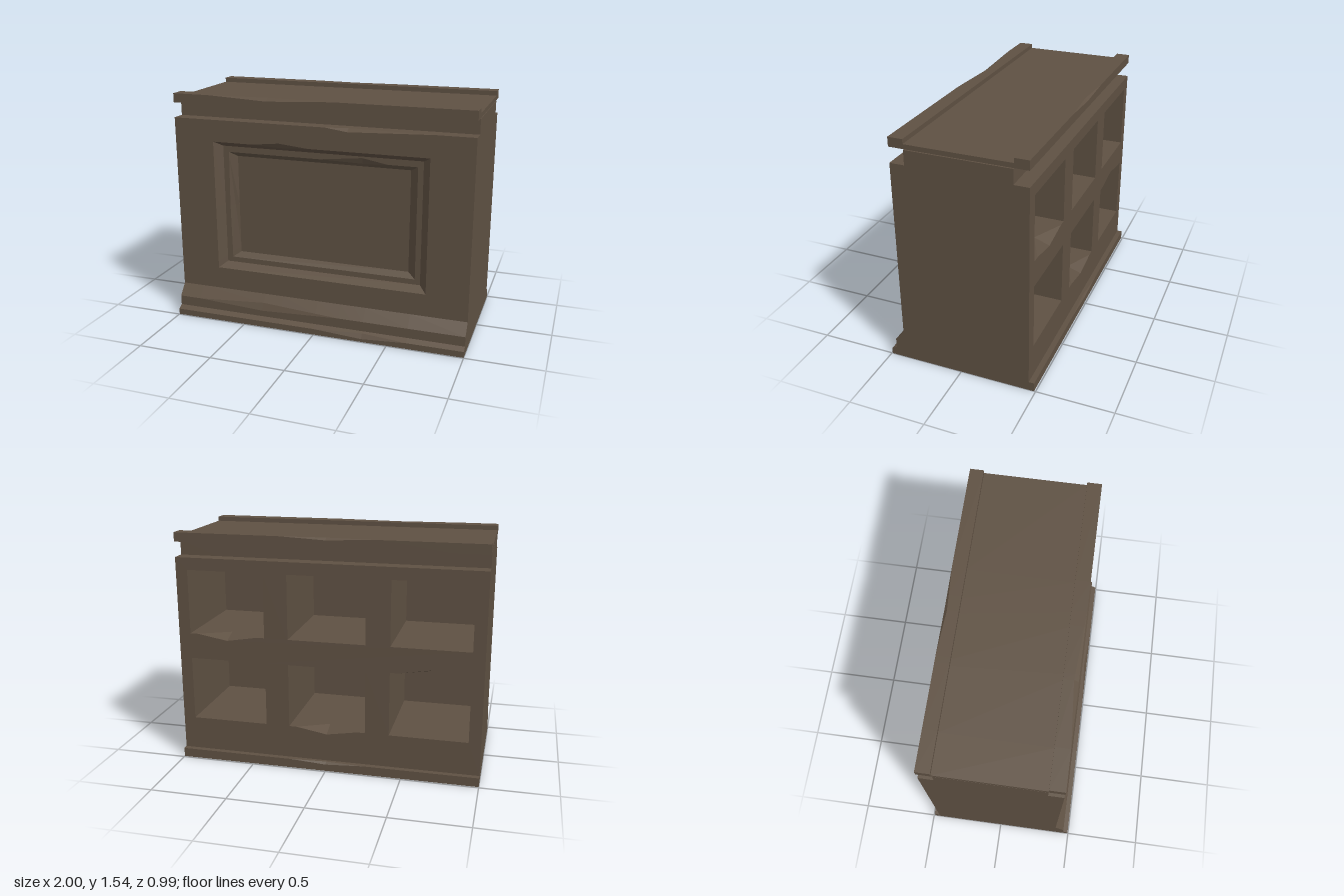
import * as THREE from 'three';

const wood = new THREE.MeshStandardMaterial({ color: 0x5f5143 });
wood.name = 'darkWood';

function mesh(name, geometry) {
  const m = new THREE.Mesh(geometry, wood);
  m.name = name;
  return m;
}

// Skin a series of equal-length rings with flat faces
function loft(rings, closed = true) {
  const pos = [];
  const tri = (a, b, c) => {
    const area = b.clone().sub(a).cross(c.clone().sub(a)).length();
    if (area > 1e-8) for (const p of [a, b, c]) pos.push(p.x, p.y, p.z);
  };
  for (let k = 0; k + 1 < rings.length; k++) {
    const a = rings[k], b = rings[k + 1], n = a.length;
    for (let i = 0; i < (closed ? n : n - 1); i++) {
      const j = (i + 1) % n;
      tri(a[i], a[j], b[j]);
      tri(a[i], b[j], b[i]);
    }
  }
  const g = new THREE.BufferGeometry();
  g.setAttribute('position', new THREE.Float32BufferAttribute(pos, 3));
  g.computeVertexNormals();
  return g;
}

// Run a [z, y] profile along x; each chip splits one profile corner in two
function moulding(profile, chips, closed) {
  const xs = [...new Set([-1, 1, ...chips.flatMap(c => c.x)])].sort((a, b) => a - b);
  const rings = xs.map(x => profile.flatMap((p, i) => {
    const c = chips.find(q => q.i === i);
    let t = 0;
    if (c) {
      const [x0, xm, x1] = c.x;
      t = Math.max(0, x < xm ? (x - x0) / (xm - x0) : (x1 - x) / (x1 - xm));
    }
    return ['a', 'b'].map(s => {
      const q = c ? c[s] : p;
      return new THREE.Vector3(x, p[1] + (q[1] - p[1]) * t, p[0] + (q[0] - p[0]) * t);
    });
  }));
  return loft(rings, closed);
}

// Flat end face of a [z, y] profile
function endCap(profile, side) {
  const shape = new THREE.Shape(profile.map(([z, y]) => new THREE.Vector2(-side * z, y)));
  return new THREE.ShapeGeometry(shape).rotateY(side * Math.PI / 2).translate(side, 0, 0);
}

// Counter-clockwise rectangle ring; chips add three points on an edge,
// and moves give the middle point's [outward, inward depth] shift
function ring([l, b, r, t], z, chips = [], moves = []) {
  const c = [[l, b], [r, b], [r, t], [l, t]];
  const out = [[0, -1], [1, 0], [0, 1], [-1, 0]];
  const pts = [];
  for (let e = 0; e < 4; e++) {
    const p = c[e], q = c[(e + 1) % 4];
    pts.push(new THREE.Vector3(p[0], p[1], z));
    chips.forEach((chip, k) => {
      if (chip.e !== e) return;
      chip.f.forEach((f, m) => {
        const [o, d] = m === 1 && moves[k] ? moves[k] : [0, 0];
        pts.push(new THREE.Vector3(
          p[0] + (q[0] - p[0]) * f + out[e][0] * o,
          p[1] + (q[1] - p[1]) * f + out[e][1] * o, z - d));
      });
    });
  }
  return pts;
}

const flat = pts => pts.map(p => new THREE.Vector2(p.x, p.y));
const panel = (pts, z) => new THREE.ShapeGeometry(new THREE.Shape(flat(pts))).translate(0, 0, z);

function plate(outline, holes) {
  const s = new THREE.Shape(outline.map(p => new THREE.Vector2(...p)));
  for (const h of holes) s.holes.push(new THREE.Path(flat(h)));
  return new THREE.ShapeGeometry(s);
}

export function createModel() {
  const root = new THREE.Group();
  root.name = 'counter';

  // Stepped plinth and shouldered upper body
  const base = [[0.4, 0.2], [0.46, 0.125], [0.46, 0.06], [0.495, 0.04], [0.495, 0],
    [-0.49, 0], [-0.49, 0.06], [-0.455, 0.06]];
  const neck = [[-0.455, 1.38], [-0.36, 1.38], [-0.36, 1.475], [0.305, 1.475], [0.305, 1.38], [0.4, 1.38]];
  root.add(mesh('plinth', moulding(base, [
    { i: 1, x: [-0.85, -0.38, 0.16], a: [0.44, 0.15], b: [0.46, 0.1] },
    { i: 3, x: [0, 0.33, 0.63], a: [0.475, 0.052], b: [0.495, 0.02] },
    { i: 6, x: [-0.25, 0, 0.25], a: [-0.49, 0.045], b: [-0.475, 0.06] },
  ], false)));
  root.add(mesh('shoulder', moulding(neck, [
    { i: 5, x: [0.05, 0.2, 0.75], a: [0.37, 1.38], b: [0.4, 1.36] },
  ], false)));

  // Counter top with a raised rail along front and back
  const top = [[-0.455, 1.48], [-0.455, 1.54], [-0.365, 1.54], [-0.365, 1.51],
    [0.305, 1.51], [0.305, 1.54], [0.4, 1.54], [0.4, 1.48]];
  root.add(mesh('counterTop', moulding(top, [
    { i: 1, x: [-0.3, 0, 0.3], a: [-0.455, 1.525], b: [-0.437, 1.54] },
    { i: 6, x: [-0.75, -0.34, 0.1], a: [0.37, 1.54], b: [0.4, 1.52] },
  ], true)));

  // Side faces
  for (const side of [1, -1]) {
    const word = side > 0 ? 'left' : 'right';
    root.add(mesh(word + 'Side', endCap([...base, ...neck], side)));
    root.add(mesh(word + 'TopEnd', endCap(top, side)));
  }

  // Front face with a double-bevelled recessed panel
  const front = new THREE.Group();
  front.name = 'front';
  front.position.z = 0.4;
  const chips = [{ e: 2, f: [0.15, 0.28, 0.5] }, { e: 2, f: [0.54, 0.68, 0.81] }, { e: 3, f: [0.03, 0.5, 0.95] }];
  const r0 = [-0.725, 0.35, 0.725, 1.235], r1 = [-0.68, 0.385, 0.675, 1.2];
  const r2 = [-0.64, 0.42, 0.64, 1.16], r3 = [-0.59, 0.455, 0.59, 1.13];
  const rim = ring(r0, 0, chips, [0, [0.02, 0]]);
  front.add(mesh('frontFace', plate([[-1, 0.2], [1, 0.2], [1, 1.38], [0.75, 1.38],
    [0.2, 1.36], [0.05, 1.38], [-1, 1.38]], [rim])));
  front.add(mesh('panelFrame', loft([
    rim,
    ring(r0, 0, chips, [0, [-0.015, 0.025]]),
    ring(r1, -0.055, chips),
    ring(r2, -0.055, chips, [[0.03, 0], 0, [0.005, 0]]),
    ring(r2, -0.055, chips, [[-0.01, 0.015], 0, [-0.025, 0.02]]),
    ring(r3, -0.085, chips),
  ])));
  front.add(mesh('panel', panel(ring(r3, 0), -0.085)));
  root.add(front);

  // Back face with six open cubbies
  const back = new THREE.Group();
  back.name = 'back';
  back.rotation.y = Math.PI;
  back.position.z = -0.455;
  const worn = { '0,1': 0, '1,0': 0, '2,0': 2 };
  const holes = [];
  for (let col = 0; col < 3; col++) {
    for (let row = 0; row < 2; row++) {
      const x = (col - 1) * 0.667, y = row ? 0.875 : 0.28;
      const rect = [x - 0.255, y, x + 0.255, y + 0.425];
      const e = worn[col + ',' + row];
      const c = e === undefined ? [] : [{ e, f: [0.1, 0.5, 0.9] }];
      const mouth = ring(rect, 0, c, [[0.035, 0]]);
      holes.push(mouth);
      back.add(mesh('cubbyWalls', loft([mouth, ring(rect, 0, c, [[0, 0.1]]), ring(rect, -0.64, c)])));
      back.add(mesh('cubbyBack', panel(ring(rect, 0), -0.64)));
    }
  }
  back.add(mesh('backFace', plate([[-1, 0.06], [1, 0.06], [1, 1.38], [-1, 1.38]], holes)));
  root.add(back);

  return root;
}
